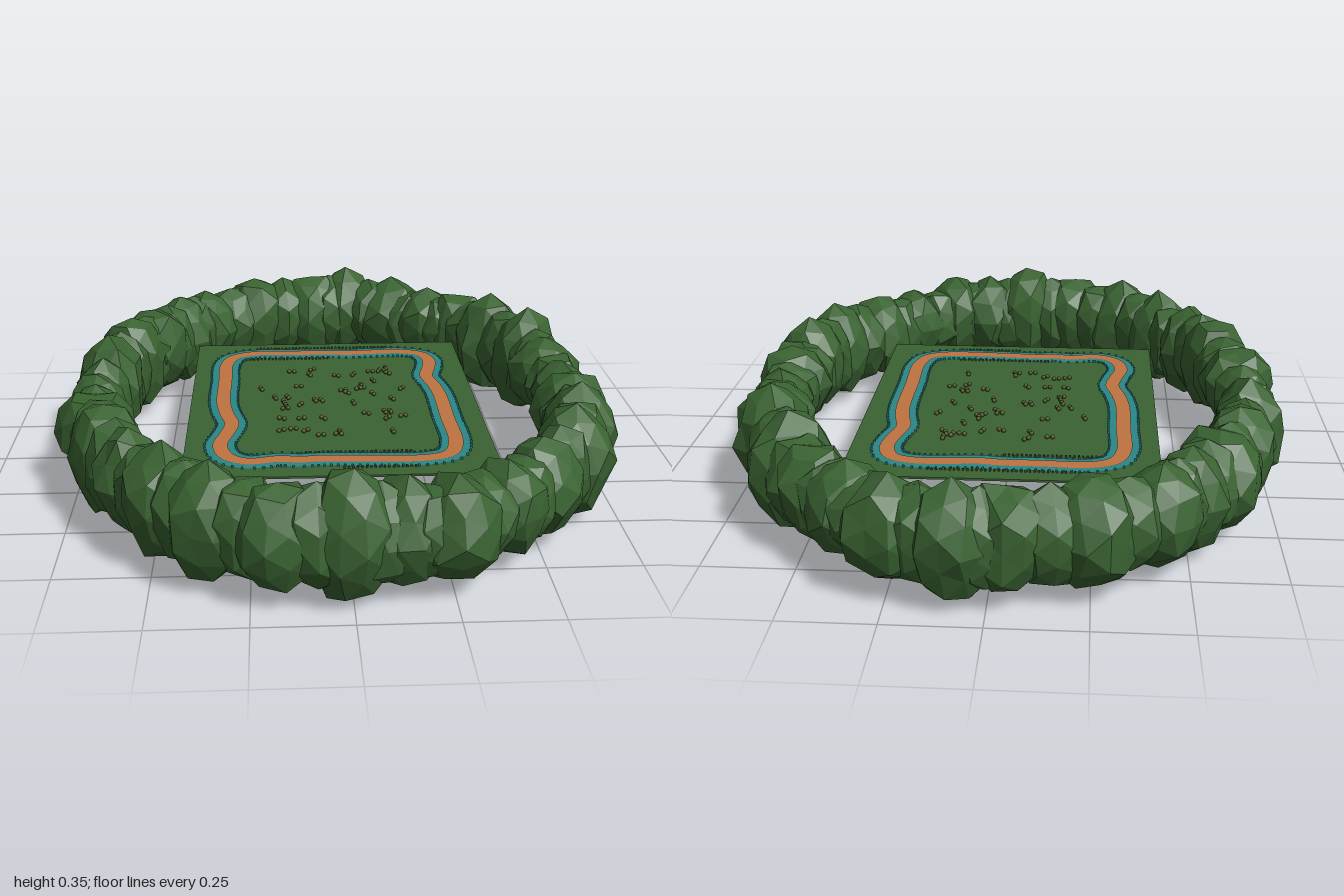
import * as THREE from 'three';
import { mergeVertices, mergeGeometries } from 'three/addons/utils/BufferGeometryUtils.js';

const GROUND_Y = 0.17;

function seeded(seed) {
  let s = seed;
  return () => (s = (s * 16807) % 2147483647) / 2147483647;
}

// Faceted, slightly irregular bush with radius r and half-height h
function bushGeometry(x, z, r, h, rand) {
  let geo = new THREE.IcosahedronGeometry(1, 1);
  geo.deleteAttribute('normal');
  geo.deleteAttribute('uv');
  geo = mergeVertices(geo, 1e-4);
  geo.rotateY(rand() * 6.28);
  const pos = geo.attributes.position;
  const v = new THREE.Vector3();
  for (let i = 0; i < pos.count; i++) {
    v.fromBufferAttribute(pos, i).multiplyScalar(0.88 + rand() * 0.2);
    pos.setXYZ(i, v.x, v.y, v.z);
  }
  geo.scale(r, h, r);
  geo.translate(x, 0.175, z);
  geo = geo.toNonIndexed();
  geo.computeVertexNormals();
  return geo;
}

// Flat closed band following a curve
function ribbon(curve, width, y, n = 240) {
  const pos = [], index = [];
  for (let i = 0; i < n; i++) {
    const p = curve.getPointAt(i / n), t = curve.getTangentAt(i / n);
    const sx = t.z * width / 2, sz = -t.x * width / 2;
    pos.push(p.x + sx, y, p.z + sz, p.x - sx, y, p.z - sz);
    const a = 2 * i, c = 2 * ((i + 1) % n);
    index.push(a, a + 1, c, a + 1, c + 1, c);
  }
  const geo = new THREE.BufferGeometry();
  geo.setAttribute('position', new THREE.Float32BufferAttribute(pos, 3));
  geo.setIndex(index);
  geo.computeVertexNormals();
  return geo;
}

// Small block standing on the ground
function post(x, z, size) {
  return new THREE.BoxGeometry(size, 0.006, size).translate(x, GROUND_Y + 0.003, z);
}

export function createModel() {
  const group = new THREE.Group();
  const mat = (name, color) => {
    const m = new THREE.MeshStandardMaterial({ color });
    m.name = name;
    return m;
  };
  const green = mat('leaf green', 0x3a6332);
  const orange = mat('track orange', 0xbf7340);
  const teal = mat('kerb teal', 0x2c8686);
  const olive = mat('shrub olive', 0x47511f);
  const add = (name, geo, material) => {
    const mesh = new THREE.Mesh(geo, material);
    mesh.name = name;
    group.add(mesh);
    return mesh;
  };

  // Ground slab
  add('ground', new THREE.BoxGeometry(0.86, 0.006, 1.065), green)
    .position.set(-0.005, GROUND_Y - 0.003, -0.002);

  // Hedge ring: x, z, radius, half-height, with a smaller bush between each pair
  const bushes = [
    [0, 0.88, 0.12, 0.175], [0.13, 0.86, 0.11, 0.14], [0.25, 0.85, 0.115, 0.14],
    [0.39, 0.74, 0.11, 0.125], [0.5, 0.62, 0.11, 0.14], [0.62, 0.46, 0.11, 0.16],
    [0.67, 0.3, 0.11, 0.15], [0.69, 0.13, 0.122, 0.12], [0.69, -0.03, 0.095, 0.1],
    [0.67, -0.19, 0.115, 0.125], [0.64, -0.34, 0.11, 0.165], [0.55, -0.52, 0.125, 0.16],
    [0.46, -0.65, 0.105, 0.14], [0.36, -0.73, 0.115, 0.125], [0.24, -0.83, 0.125, 0.135],
    [0.08, -0.89, 0.11, 0.155], [-0.05, -0.87, 0.11, 0.155], [-0.25, -0.83, 0.12, 0.15],
    [-0.42, -0.72, 0.11, 0.145], [-0.5, -0.62, 0.105, 0.15], [-0.58, -0.5, 0.12, 0.15],
    [-0.64, -0.37, 0.105, 0.15], [-0.69, -0.17, 0.105, 0.155], [-0.71, 0, 0.085, 0.095],
    [-0.69, 0.2, 0.115, 0.12], [-0.64, 0.385, 0.11, 0.165], [-0.56, 0.54, 0.1, 0.15],
    [-0.465, 0.665, 0.11, 0.155], [-0.345, 0.785, 0.115, 0.155], [-0.18, 0.87, 0.115, 0.15],
  ];
  const rand = seeded(4177);
  const hedge = [];
  bushes.forEach(([x, z, r, h], i) => {
    const [nx, nz, nr, nh] = bushes[(i + 1) % bushes.length];
    hedge.push(bushGeometry(x, z, r, h, rand));
    hedge.push(bushGeometry((x + nx) / 2, (z + nz) / 2, (r + nr) * 0.44, (h + nh) * 0.44, rand));
  });
  add('hedgeRing', mergeGeometries(hedge), green);

  // Race track with its wider kerb underneath
  const path = [
    [-0.335, -0.34], [-0.31, -0.405], [-0.25, -0.435], [-0.1, -0.435], [0, -0.435],
    [0.06, -0.428], [0.12, -0.432], [0.24, -0.435], [0.3, -0.41], [0.322, -0.35],
    [0.315, -0.28], [0.298, -0.2], [0.312, -0.12], [0.32, -0.04], [0.32, 0.15],
    [0.32, 0.33], [0.295, 0.405], [0.235, 0.432], [0.08, 0.432], [-0.06, 0.425],
    [-0.12, 0.43], [-0.17, 0.422], [-0.26, 0.435], [-0.315, 0.4], [-0.337, 0.32],
    [-0.32, 0.24], [-0.308, 0.17], [-0.325, 0.09], [-0.337, 0], [-0.337, -0.18],
  ].map(([x, z]) => new THREE.Vector3(x, 0, z));
  const curve = new THREE.CatmullRomCurve3(path, true, 'centripetal');
  add('trackKerb', ribbon(curve, 0.084, GROUND_Y + 0.002), teal);
  add('trackSurface', ribbon(curve, 0.042, GROUND_Y + 0.004), orange);

  // Teal marker posts along both kerb edges
  const markers = [];
  for (let i = 0; i < 150; i++) {
    const p = curve.getPointAt(i / 150), t = curve.getTangentAt(i / 150);
    for (const side of [-0.043, 0.043]) {
      markers.push(post(p.x + t.z * side, p.z - t.x * side, 0.006));
    }
  }
  add('markerPosts', mergeGeometries(markers), teal);

  // Short rows of posts beside the two end straights
  const rows = [];
  for (const [from, to, z] of [[-0.24, 0.2, -0.485], [-0.26, 0, -0.382], [-0.1, 0.2, 0.382], [0, 0.2, 0.482]]) {
    for (let x = from; x <= to; x += 0.012) rows.push(post(x, z, 0.005));
  }
  add('straightPosts', mergeGeometries(rows), olive);

  // Scattered shrubs inside the track, in pairs
  const shrubs = [];
  for (let i = 0; i < 45; i++) {
    const x = -0.23 + rand() * 0.44, z = -0.275 + rand() * 0.54, turn = rand() * 3.14;
    for (const s of [-0.008, 0.008]) {
      shrubs.push(new THREE.IcosahedronGeometry(0.007, 1)
        .translate(x + s * Math.cos(turn), GROUND_Y + 0.005, z + s * Math.sin(turn)));
    }
  }
  add('infieldShrubs', mergeGeometries(shrubs), olive);

  return group;
}
